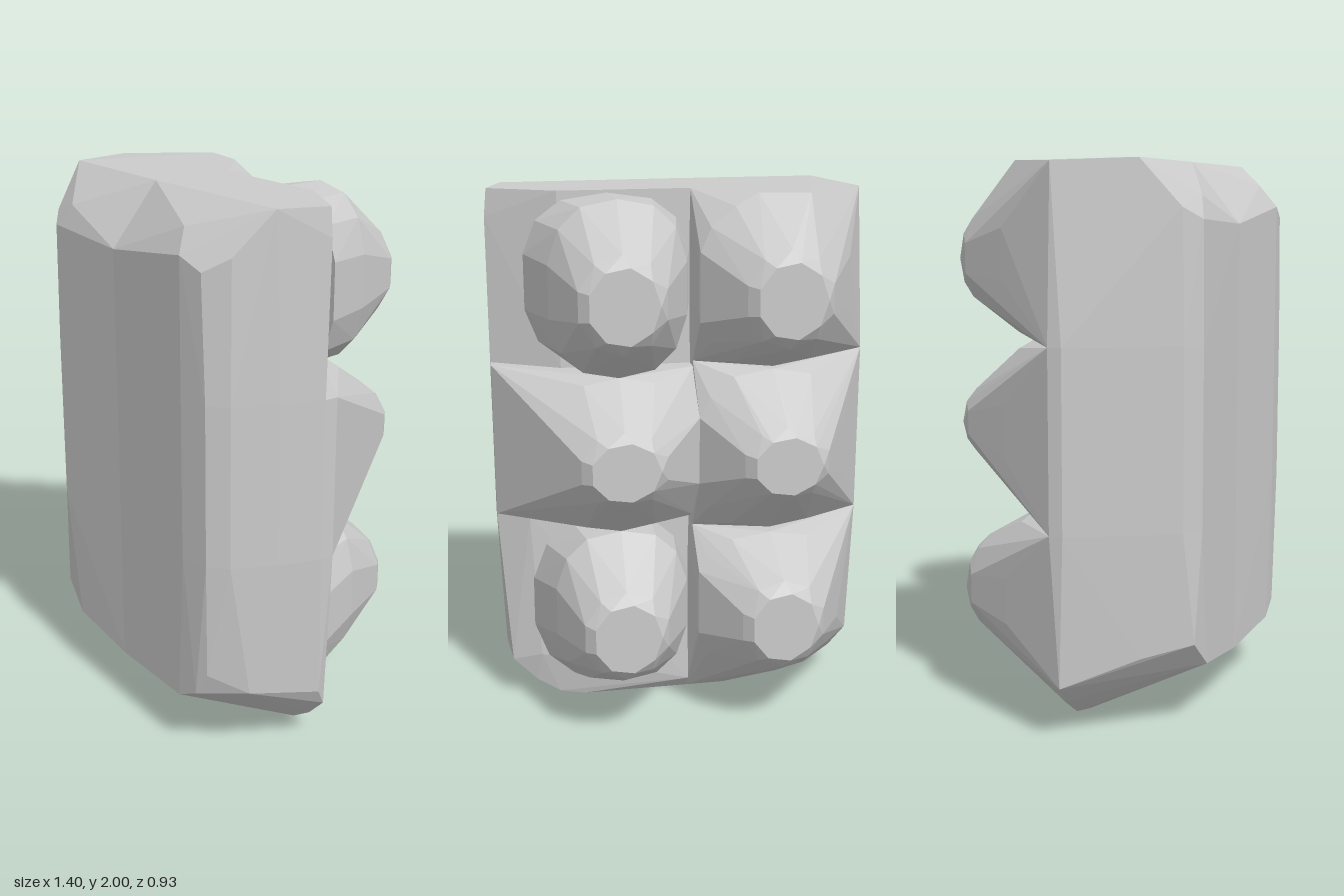
import * as THREE from 'three';
import { ConvexGeometry } from 'three/addons/geometries/ConvexGeometry.js';

const MID = -0.03; // x of the seam between the two columns

// Plan outlines [x, z] of the slab, from the middle of the front round to the side
const PLAN_RIGHT = [[MID, 0.45], [-0.43, 0.455], [-0.5, 0.41], [-0.57, 0.28], [-0.7, 0.05], [-0.7, 0]];
const PLAN_LEFT = [[MID, 0.45], [0.4, 0.465], [0.52, 0.45], [0.58, 0.39], [0.65, 0.24], [0.7, 0.09], [0.7, 0.04]];

// Crown and foot points [x, y, z] that round off the ends of the slab
const CROWN_RIGHT = [[-0.43, 1.8, 0.45], [-0.5, 1.84, 0.4], [-0.36, 1.88, 0.42], [MID, 1.78, 0.45],
  [-0.67, 1.99, 0], [-0.56, 2, 0.27], [MID, 2, 0.27]];
const CROWN_LEFT = [[MID, 1.78, 0.45], [0.4, 1.84, 0.465], [0.5, 1.8, 0.45], [0.57, 1.85, 0.38],
  [0.35, 1.92, 0.41], [0.7, 1.9, 0.08], [MID, 2, 0.27], [0.63, 2, 0.25], [0.69, 2, 0.08]];
const FOOT_RIGHT = [[MID, 0.2, 0.45], [-0.35, 0.24, 0.45], [-0.46, 0.34, 0.44], [-0.56, 0.3, 0.28],
  [-0.69, 0.2, 0.03], [-0.62, 0.13, 0.02], [-0.52, 0.06, 0.02], [-0.4, 0.03, 0.02], [-0.18, 0, 0.02], [MID, 0, 0.02]];
const FOOT_LEFT = [[MID, 0.2, 0.45], [0.36, 0.21, 0.46], [0.46, 0.26, 0.455], [0.51, 0.35, 0.44], [0.6, 0.28, 0.32],
  [0.68, 0.24, 0.07], [0.66, 0.17, 0.03], [0.57, 0.08, 0.02], [0.48, 0.02, 0.02], [0.38, 0, 0.02], [MID, 0, 0.02]];

const level = (plan, y) => plan.map(([x, z]) => [x, y, z]);

// Rounded ring of points facing the back; power < 1 squares it off
function ring(cx, cy, z, rx, ry, n = 10, power = 1) {
  const bend = (v) => Math.sign(v) * Math.abs(v) ** power;
  return Array.from({ length: n }, (_, i) => {
    const a = ((i + 0.5) / n) * Math.PI * 2;
    return [cx + rx * bend(Math.cos(a)), cy + ry * bend(Math.sin(a)), z];
  });
}

// Blunt knob narrowing from a wide shoulder to a small flat tip
function knob(side, y0, y1, tipY, tipR) {
  const cx = side < 0 ? -0.31 : 0.27;
  const wide = side < 0 ? 0.28 : 0.25;
  const cy = (y0 + y1) / 2, h = (y1 - y0) / 2;
  return [
    ...ring(cx, tipY, -0.465, 0.125, tipR * 0.9, 9),
    ...ring(cx, tipY, -0.43, 0.16, tipR * 1.15, 10),
    ...ring(cx - side * 0.01, cy, -0.23, wide, h, 14, 0.8),
  ];
}

export function createModel() {
  const model = new THREE.Group();
  const material = new THREE.MeshStandardMaterial({ color: 0xcccccc, flatShading: true });
  const add = (name, points) => {
    const mesh = new THREE.Mesh(new ConvexGeometry(points.map((p) => new THREE.Vector3(...p))), material);
    mesh.name = name;
    model.add(mesh);
  };

  // Right column: each block runs from the slab straight into its knob
  add('rightTopBlock', [
    ...level(PLAN_RIGHT, 1.38), ...CROWN_RIGHT, ...knob(-1, 1.38, 1.98, 1.66, 0.15),
    [-0.42, 2, -0.25], [-0.24, 2, -0.22], [MID, 2, -0.04], [MID, 1.38, -0.1],
    [MID, 1.55, -0.24], [MID, 1.8, -0.24],
  ]);
  add('rightMiddleBlock', [
    ...level(PLAN_RIGHT, 0.74), ...level(PLAN_RIGHT, 1.38), ...knob(-1, 0.76, 1.37, 1.07, 0.12),
    [MID, 0.74, -0.1], [MID, 1.38, -0.1], [MID, 0.95, -0.24], [MID, 1.2, -0.24],
  ]);
  add('rightBottomBlock', [
    ...level(PLAN_RIGHT, 0.74), ...FOOT_RIGHT, ...knob(-1, 0.17, 0.74, 0.45, 0.15),
    [MID, 0.74, -0.1], [MID, 0.35, -0.24], [MID, 0.6, -0.24],
  ]);

  // Left column: slab pieces with separate knobs above and below a joined block
  add('leftTopSlab', [
    ...level(PLAN_LEFT.slice(0, -1), 1.36), ...CROWN_LEFT,
    [MID, 2, -0.045], [0.45, 2, -0.045], [MID, 1.36, -0.045], [0.45, 1.36, -0.045],
  ]);
  add('leftTopKnob', [
    ...knob(1, 1.36, 1.99, 1.66, 0.15),
    ...ring(0.275, 1.68, -0.04, 0.305, 0.31, 14, 0.75),
  ]);
  add('leftMiddleBlock', [
    ...level(PLAN_LEFT, 0.78), ...level(PLAN_LEFT, 1.36), ...knob(1, 0.78, 1.36, 1.08, 0.12),
    [MID, 0.78, -0.1], [MID, 1.36, -0.1], [MID, 0.95, -0.24], [MID, 1.2, -0.24],
  ]);
  add('leftBottomSlab', [
    ...level(PLAN_LEFT, 0.78), ...FOOT_LEFT,
    [MID, 0.78, -0.02], [0.58, 0.78, -0.02], [0.55, 0.2, -0.01], [MID, 0.05, -0.02],
  ]);
  add('leftBottomKnob', [
    ...knob(1, 0.17, 0.78, 0.45, 0.15),
    ...ring(0.275, 0.43, -0.01, 0.305, 0.35, 14, 0.85),
  ]);

  return model;
}
